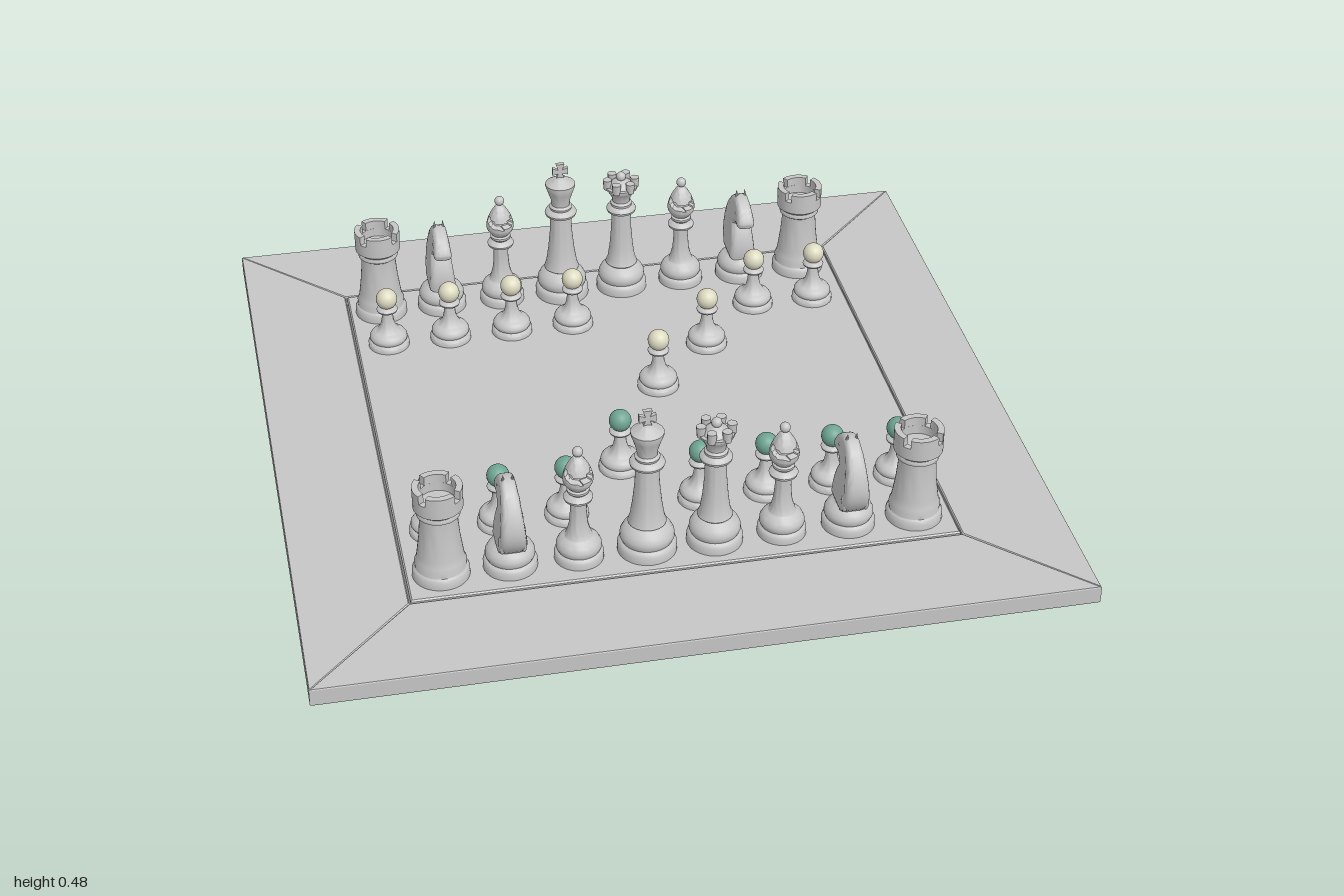
import * as THREE from 'three';
import { toCreasedNormals } from 'three/addons/utils/BufferGeometryUtils.js';

const mat = (name, color) => Object.assign(new THREE.MeshStandardMaterial({ color }), { name });
const grey = mat('stone grey', 0xc6c6c6);
const cream = mat('cream', 0xdedbc2);
const green = mat('sea green', 0x70a593);

const TOP = 0.053; // height of the playing surface
const PITCH = 0.1775;
const at = (i) => -0.625 + i * PITCH;

function add(parent, name, geometry, material = grey) {
  const mesh = new THREE.Mesh(geometry, material);
  mesh.name = name;
  parent.add(mesh);
  return mesh;
}

// Turned part: [radius, height] pairs from bottom to top
const turn = (pts, segs = 32) =>
  toCreasedNormals(new THREE.LatheGeometry(pts.map(([r, y]) => new THREE.Vector2(r, y)), segs), 0.7);

// Stepped, rounded foot shared by the turned pieces
const foot = (r, h) => [
  [0, 0], [r, 0], [r, h * 0.25], [r * 0.93, h * 0.36], [r * 0.86, h * 0.4], [r * 0.92, h * 0.52],
  [r * 0.91, h * 0.66], [r * 0.82, h * 0.82], [r * 0.66, h * 0.95], [r * 0.56, h],
];

// Flat outline raised upward, outline y becoming -z
const raise = (shape, height, bevel = 0) => new THREE.ExtrudeGeometry(shape, {
  depth: height - 2 * bevel, curveSegments: 10, bevelEnabled: bevel > 0,
  bevelSize: bevel, bevelOffset: -bevel, bevelThickness: bevel, bevelSegments: 1,
}).translate(0, 0, bevel).rotateX(-Math.PI / 2);

const polygon = (pts) => new THREE.Shape(pts.map(([x, y]) => new THREE.Vector2(x, y)));

function makeBoard() {
  const g = new THREE.Group();
  g.name = 'board';
  const a = 0.72;
  const rail = raise(polygon([[-1, -1], [1, -1], [a, -a], [-a, -a]]), 0.05, 0.003);
  for (let i = 0; i < 4; i++) add(g, 'frameRail', rail).rotation.y = i * Math.PI / 2;
  const b = a - 0.004;
  add(g, 'playingSurface', raise(polygon([[-b, -b], [b, -b], [b, b], [-b, b]]), TOP, 0.004));
  return g;
}

// Pawn
const pawnBody = turn([...foot(0.058, 0.05), [0.022, 0.065], [0.017, 0.085], [0.015, 0.108],
  [0.028, 0.114], [0.03, 0.119], [0.027, 0.124], [0.014, 0.129], [0.013, 0.14]], 28);
const pawnHead = new THREE.SphereGeometry(0.03, 24, 16);
function makePawn(headMaterial) {
  const g = new THREE.Group();
  add(g, 'pawnBody', pawnBody);
  add(g, 'pawnHead', pawnHead, headMaterial).position.y = 0.152;
  return g;
}

// Rook: tapered tower, recessed top, four merlons
const rookBody = turn([[0, 0], [0.074, 0], [0.074, 0.018], [0.07, 0.026], [0.066, 0.03], [0.067, 0.045],
  [0.062, 0.056], [0.059, 0.075], [0.053, 0.12], [0.049, 0.17], [0.049, 0.188], [0.056, 0.193],
  [0.057, 0.2], [0.054, 0.206], [0.064, 0.215], [0.064, 0.25], [0.047, 0.25], [0.047, 0.225], [0, 0.225]]);
const merlonShape = new THREE.Shape();
merlonShape.absarc(0, 0, 0.064, -0.62, 0.62, false);
merlonShape.absarc(0, 0, 0.047, 0.62, -0.62, true);
const merlon = raise(merlonShape, 0.026);
function makeRook() {
  const g = new THREE.Group();
  add(g, 'rookTower', rookBody);
  for (let i = 0; i < 4; i++) {
    const m = add(g, 'rookMerlon', merlon);
    m.position.y = 0.249;
    m.rotation.y = i * Math.PI / 2;
  }
  return g;
}

// Knight: side outline given thickness, narrowing upward
const knightFoot = turn([...foot(0.07, 0.075), [0.036, 0.08], [0, 0.08]]);
const outline = new THREE.Shape();
outline.moveTo(0.045, 0.07);
outline.quadraticCurveTo(0.058, 0.125, 0.022, 0.182);
outline.quadraticCurveTo(0.036, 0.2, 0.064, 0.192);
outline.quadraticCurveTo(0.088, 0.194, 0.085, 0.214);
outline.quadraticCurveTo(0.066, 0.25, 0.026, 0.264);
outline.lineTo(0, 0.268);
outline.quadraticCurveTo(-0.058, 0.245, -0.078, 0.185);
outline.quadraticCurveTo(-0.1, 0.12, -0.046, 0.07);
const knightHead = new THREE.ExtrudeGeometry(outline, {
  depth: 0.03, curveSegments: 8, bevelEnabled: true, bevelSize: 0.014, bevelOffset: -0.014,
  bevelThickness: 0.018, bevelSegments: 3,
}).translate(0, 0, -0.015).rotateY(-Math.PI / 2);
const kp = knightHead.attributes.position;
for (let i = 0; i < kp.count; i++) {
  const t = (kp.getY(i) - 0.07) / 0.2;
  kp.setX(i, kp.getX(i) * (1.2 - 0.62 * t));
}
const knightForm = toCreasedNormals(knightHead, 0.7);
const ear = new THREE.ConeGeometry(0.011, 0.05, 8);
const eye = new THREE.SphereGeometry(0.006, 10, 8);
const maneLock = new THREE.SphereGeometry(1, 10, 8).scale(0.009, 0.03, 0.012);
function makeKnight() {
  const g = new THREE.Group();
  add(g, 'knightFoot', knightFoot);
  add(g, 'knightHead', knightForm);
  for (const s of [-1, 1]) {
    const e = add(g, 'knightEar', ear);
    e.position.set(s * 0.012, 0.26, 0.004);
    e.rotation.x = -0.2;
    add(g, 'knightEye', eye).position.set(s * 0.019, 0.228, 0.036);
    for (let i = 0; i < 4; i++) {
      const lock = add(g, 'knightManeLock', maneLock);
      lock.position.set(s * (0.028 - i * 0.004), 0.11 + i * 0.037, [-0.055, -0.062, -0.054, -0.036][i]);
      lock.rotation.x = 0.1 + i * 0.15;
    }
  }
  return g;
}

// Bishop: mitre with a slanted cut on the front
const bishopBody = turn([...foot(0.064, 0.07), [0.03, 0.085], [0.024, 0.11], [0.021, 0.15], [0.022, 0.178],
  [0.036, 0.184], [0.038, 0.191], [0.033, 0.198], [0.022, 0.202], [0.029, 0.209], [0.029, 0.215], [0.021, 0.22]]);
const mitre = new THREE.LatheGeometry(new THREE.SplineCurve(
  [[0.02, 0.215], [0.036, 0.235], [0.039, 0.255], [0.029, 0.285], [0.012, 0.312], [0, 0.318]]
    .map(([r, y]) => new THREE.Vector2(r, y))).getPoints(26), 36);
const mp = mitre.attributes.position;
for (let i = 0; i < mp.count; i++) {
  const z = mp.getZ(i);
  if (z > 0.002 && Math.abs(mp.getY(i) - 0.278 + z * 0.5) < 0.0055) {
    mp.setX(i, mp.getX(i) * 0.75);
    mp.setZ(i, z * 0.6);
  }
}
const mitreForm = toCreasedNormals(mitre, 0.7);
const mitreBall = new THREE.SphereGeometry(0.014, 16, 12);
function makeBishop() {
  const g = new THREE.Group();
  add(g, 'bishopBody', bishopBody);
  add(g, 'bishopMitre', mitreForm);
  add(g, 'bishopFinial', mitreBall).position.y = 0.328;
  return g;
}

// King: flared cup, dome and flat cross
const kingBody = turn([...foot(0.077, 0.085), [0.05, 0.09], [0.045, 0.105], [0.038, 0.15], [0.032, 0.21],
  [0.03, 0.26], [0.044, 0.266], [0.046, 0.273], [0.042, 0.28], [0.031, 0.285], [0.033, 0.292], [0.026, 0.298],
  [0.028, 0.315], [0.036, 0.34], [0.043, 0.36], [0.043, 0.366], [0.034, 0.372], [0.018, 0.382], [0.009, 0.388], [0, 0.389]]);
const cross = new THREE.ExtrudeGeometry(polygon([[-0.012, 0.383], [0.012, 0.383], [0.006, 0.4], [0.022, 0.396],
  [0.022, 0.418], [0.006, 0.412], [0.012, 0.43], [-0.012, 0.43], [-0.006, 0.412], [-0.022, 0.418],
  [-0.022, 0.396], [-0.006, 0.4]]), { depth: 0.012, bevelEnabled: false }).translate(0, 0, -0.006);
function makeKing() {
  const g = new THREE.Group();
  add(g, 'kingBody', kingBody);
  add(g, 'kingCross', cross);
  return g;
}

// Queen: crown with six points around a ball
const queenBody = turn([...foot(0.073, 0.08), [0.046, 0.085], [0.04, 0.1], [0.034, 0.14], [0.029, 0.2],
  [0.028, 0.252], [0.041, 0.258], [0.043, 0.265], [0.039, 0.272], [0.03, 0.277], [0.031, 0.284], [0.025, 0.29],
  [0.028, 0.305], [0.038, 0.322], [0.046, 0.332], [0.046, 0.338], [0.036, 0.338], [0.03, 0.348], [0.015, 0.358], [0, 0.362]]);
const crownPoint = new THREE.CylinderGeometry(0.013, 0.011, 0.034, 10);
const crownBall = new THREE.SphereGeometry(0.014, 16, 12);
function makeQueen() {
  const g = new THREE.Group();
  add(g, 'queenBody', queenBody);
  for (let i = 0; i < 6; i++) {
    const a = i * Math.PI / 3;
    const p = add(g, 'queenCrownPoint', crownPoint);
    p.position.set(0.04 * Math.cos(a), 0.346, 0.04 * Math.sin(a));
    p.scale.y = 0.9;
  }
  add(g, 'queenCrownBall', crownBall).position.y = 0.368;
  return g;
}

export function createModel() {
  const model = new THREE.Group();
  model.name = 'chessSet';
  model.add(makeBoard());
  const place = (piece, name, col, row) => {
    piece.name = name;
    piece.position.set(at(col), TOP, at(row));
    model.add(piece);
    return piece;
  };
  const order = [['rook', makeRook], ['knight', makeKnight], ['bishop', makeBishop], ['king', makeKing],
    ['queen', makeQueen], ['bishop', makeBishop], ['knight', makeKnight], ['rook', makeRook]];
  for (const row of [0, 7]) {
    order.forEach(([name, make], col) => {
      const piece = place(make(), name, col, row);
      if (row === 7 && name === 'knight') piece.rotation.y = Math.PI;
    });
  }
  // Pawn rows by column, some already advanced
  [1, 1, 1, 1, 3, 2, 1, 1].forEach((row, col) => place(makePawn(cream), 'creamPawn', col, row));
  [6, 6, 6, 5, 6, 6, 6, 6].forEach((row, col) => place(makePawn(green), 'greenPawn', col, row));
  return model;
}
